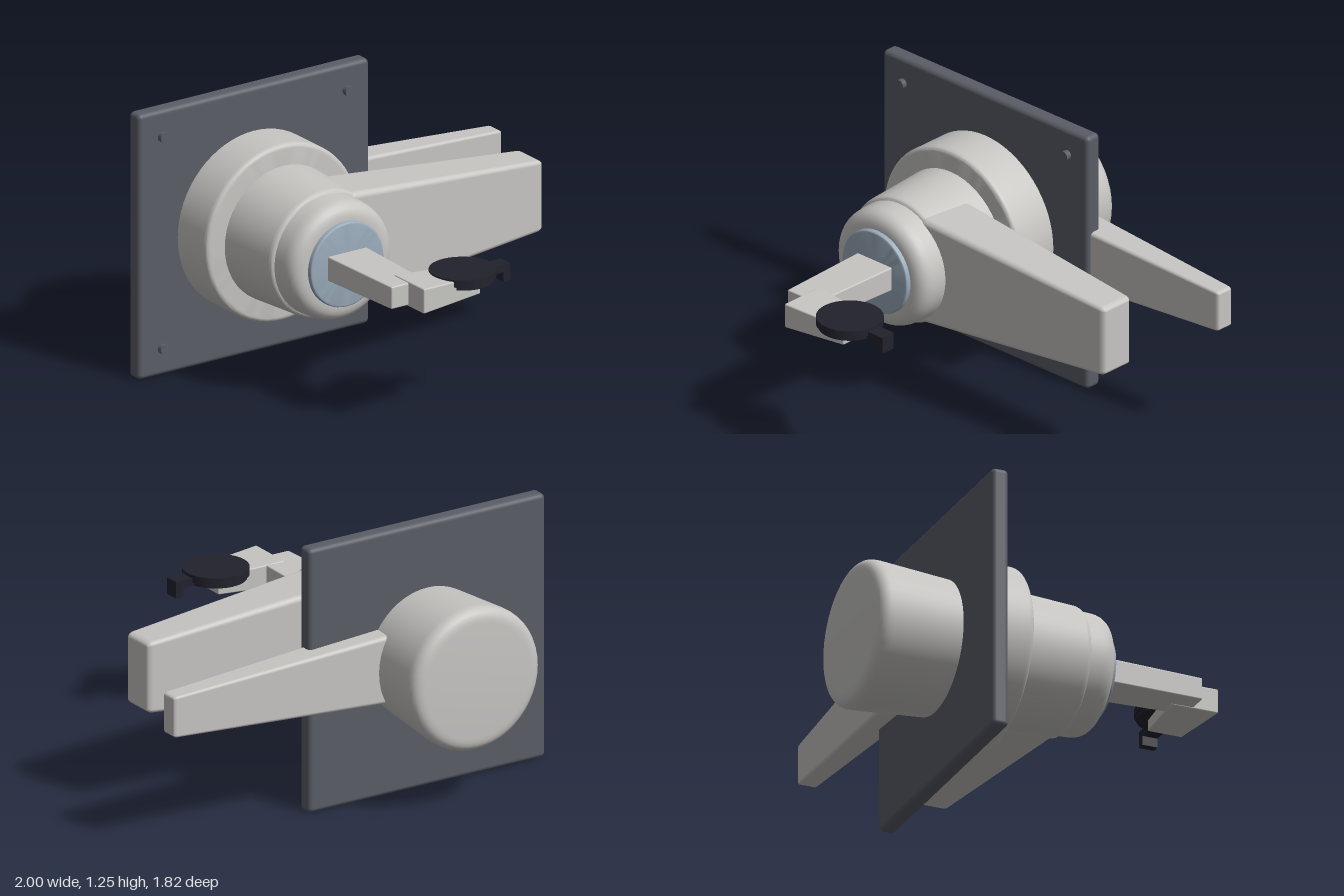
import * as THREE from 'three';
import { toCreasedNormals } from 'three/addons/utils/BufferGeometryUtils.js';
import { RoundedBoxGeometry } from 'three/addons/geometries/RoundedBoxGeometry.js';

const AX = -0.375, AY = 0.63; // spindle axis, running along z

// Solid of revolution about z; corners are [radius, z, fillet] from back to front
function turned(corners, segments = 48) {
  const pts = [];
  corners.forEach(([r, z, fillet = 0], i) => {
    const p = new THREE.Vector2(r, z);
    if (!fillet) { pts.push(p); return; }
    const toward = ([x, y]) => new THREE.Vector2(x, y).sub(p).setLength(fillet).add(p);
    const a = toward(corners[i - 1]), b = toward(corners[i + 1]);
    pts.push(...new THREE.QuadraticBezierCurve(a, p, b).getPoints(7));
  });
  const geo = new THREE.LatheGeometry(pts, segments);
  geo.rotateX(Math.PI / 2);
  return toCreasedNormals(geo, 0.5);
}

// Rounded bar along x whose height and depth shrink by endY and endZ at its +x end
function taperedBar(length, height, depth, endY, endZ, radius) {
  const geo = new RoundedBoxGeometry(length, height, depth, 4, radius);
  const pos = geo.attributes.position, nor = geo.attributes.normal;
  const n = new THREE.Vector3();
  for (let i = 0; i < pos.count; i++) {
    const t = pos.getX(i) / length + 0.5;
    const sy = 1 + (endY - 1) * t, sz = 1 + (endZ - 1) * t;
    const y = pos.getY(i), z = pos.getZ(i);
    n.fromBufferAttribute(nor, i);
    n.set(
      n.x - (n.y * y * (endY - 1)) / (length * sy) - (n.z * z * (endZ - 1)) / (length * sz),
      n.y / sy, n.z / sz
    ).normalize();
    pos.setXYZ(i, pos.getX(i), y * sy, z * sz);
    nor.setXYZ(i, n.x, n.y, n.z);
  }
  return geo;
}

export function createModel() {
  const model = new THREE.Group();
  model.name = 'lockableLeverHandle';
  const material = (name, color) => {
    const m = new THREE.MeshStandardMaterial({ color });
    m.name = name;
    return m;
  };
  const grey = material('light grey', 0xc6c5c2);
  const slate = material('slate plate', 0x5a5d66);
  const blue = material('blue grey', 0x9aabba);
  const black = material('black', 0x22222d);

  const add = (name, geo, mat, x, y, z, parent = model) => {
    const mesh = new THREE.Mesh(geo, mat);
    mesh.name = name;
    mesh.position.set(x, y, z);
    parent.add(mesh);
    return mesh;
  };

  // Mounting plate with four screws on its front
  add('mountingPlate', new RoundedBoxGeometry(1.25, 1.25, 0.08, 4, 0.022), slate, AX, 0.625, -0.46);
  for (const sx of [-1, 1]) {
    for (const sy of [-1, 1]) {
      const screw = new THREE.CylinderGeometry(0.023, 0.023, 0.04, 20);
      screw.rotateX(Math.PI / 2);
      add('plateScrew', screw, slate, AX + sx * 0.5, 0.627 + sy * 0.5, -0.415);
    }
  }

  // Turned parts on the spindle
  add('rearKnob', turned([[0, -0.91], [0.342, -0.91, 0.07], [0.306, -0.45], [0, -0.45]]), grey, AX, AY, 0);
  add('collar', turned([[0, -0.44], [0.415, -0.44], [0.415, -0.2, 0.025], [0, -0.2]], 64), grey, AX, AY, 0);
  add('neck', turned([[0, -0.21], [0.317, -0.21], [0.297, 0.13, 0.025], [0, 0.13]]), grey, AX, AY, 0);
  add('frontCap', turned([[0, 0.09], [0.283, 0.09], [0.275, 0.267, 0.075], [0, 0.267]]), grey, AX, AY, 0);
  add('lockCylinder', turned([[0, 0.2], [0.198, 0.2], [0.198, 0.29, 0.01], [0, 0.29]]), blue, AX, AY, 0);

  // Front and rear levers, narrowing toward their tips
  add('frontLever', taperedBar(1.08, 0.52, 0.275, 0.64, 0.64, 0.03), grey, 0.29, AY, 0);
  add('rearLever', taperedBar(1.14, 0.325, 0.17, 0.59, 0.53, 0.02), grey, 0.43, 0.635, -0.51);

  // Key: shaft out of the cylinder, side arm, and round fob with a hooked tab
  const key = new THREE.Group();
  key.name = 'key';
  model.add(key);
  const shaft = add('keyShaft', taperedBar(0.48, 0.115, 0.212, 0.91, 0.85, 0.007), grey, AX, AY + 0.003, 0.512, key);
  shaft.rotation.y = -Math.PI / 2;
  add('keyArm', taperedBar(0.33, 0.118, 0.228, 0.72, 0.72, 0.007), grey, -0.208, 0.633, 0.755, key);
  add('fobDisc', new THREE.CylinderGeometry(0.15, 0.15, 0.035, 48), black, -0.083, 0.674, 0.755, key);
  add('fobRim', new THREE.CylinderGeometry(0.14, 0.14, 0.02, 48), black, -0.083, 0.65, 0.755, key);
  add('fobTab', new THREE.BoxGeometry(0.13, 0.035, 0.072), black, 0.085, 0.66, 0.755, key);
  add('fobHook', new THREE.BoxGeometry(0.038, 0.078, 0.072), black, 0.131, 0.6385, 0.755, key);

  return model;
}
